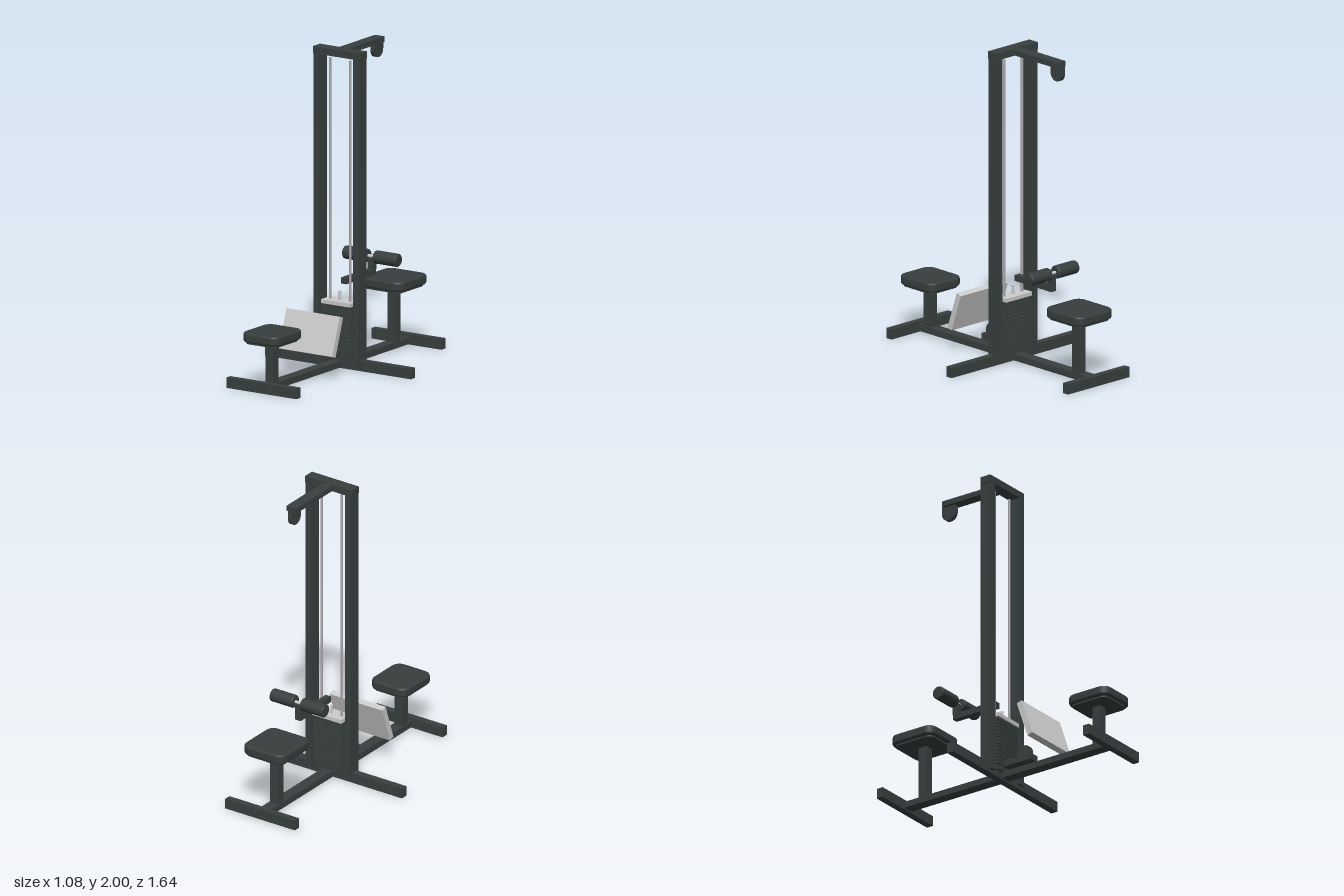
import * as THREE from 'three';

export function createModel() {
  const model = new THREE.Group();
  const frame = new THREE.MeshStandardMaterial({ name: 'darkFrame', color: 0x394040 });
  const pad = new THREE.MeshStandardMaterial({ name: 'darkPad', color: 0x383e3e });
  const light = new THREE.MeshStandardMaterial({ name: 'lightPanel', color: 0xcccccc });
  const steel = new THREE.MeshStandardMaterial({ name: 'steel', color: 0xaaa8ae });

  const add = (name, geo, mat, x = 0, y = 0, z = 0) => {
    const m = new THREE.Mesh(geo, mat);
    m.name = name;
    m.position.set(x, y, z);
    model.add(m);
    return m;
  };
  // box given by its extents on each axis
  const box = (name, mat, x0, x1, y0, y1, z0, z1) =>
    add(name, new THREE.BoxGeometry(x1 - x0, y1 - y0, z1 - z0), mat, (x0 + x1) / 2, (y0 + y1) / 2, (z0 + z1) / 2);

  // rounded slab lying flat, with softened rims
  const slab = (w, d, h, r, bevel) => {
    const a = w / 2 - bevel, b = d / 2 - bevel;
    const s = new THREE.Shape();
    s.moveTo(-a + r, -b);
    s.lineTo(a - r, -b);
    s.absarc(a - r, -b + r, r, -Math.PI / 2, 0);
    s.absarc(a - r, b - r, r, 0, Math.PI / 2);
    s.absarc(-a + r, b - r, r, Math.PI / 2, Math.PI);
    s.absarc(-a + r, -b + r, r, Math.PI, Math.PI * 1.5);
    const g = new THREE.ExtrudeGeometry(s, {
      depth: h - 2 * bevel, bevelEnabled: true, bevelSize: bevel, bevelThickness: bevel, bevelSegments: 4, curveSegments: 8,
    });
    return g.rotateX(-Math.PI / 2).translate(0, bevel, 0);
  };

  // floor frame
  box('baseSpine', frame, -0.036, 0.036, 0.015, 0.055, -0.8, 0.76);
  box('frontFoot', frame, -0.26, 0.26, 0.005, 0.07, 0.735, 0.78);
  box('rearFoot', frame, -0.26, 0.26, 0.005, 0.07, -0.82, -0.775);
  box('middleFoot', frame, -0.54, 0.54, 0.005, 0.07, -0.087, -0.04);

  // tower
  for (const s of [-1, 1]) {
    const c = s * 0.147;
    box('upright', frame, c - 0.021, c + 0.021, 0.03, 1.96, -0.105, -0.022);
    add('guideRod', new THREE.CylinderGeometry(0.008, 0.008, 1.86, 16), steel, s * 0.075, 1.005, -0.065);
  }
  box('topCrossbar', frame, -0.175, 0.175, 1.955, 2, -0.1, -0.026);
  box('topArm', frame, -0.036, 0.036, 1.963, 1.997, -0.49, -0.09);

  // pulleys: a plate pair round a wheel; dir points to the rounded end
  const pulley = (name, y, z, r, dir, stem) => {
    const s = new THREE.Shape();
    s.moveTo(-r, -stem);
    s.lineTo(r, -stem);
    s.lineTo(r, 0);
    s.absarc(0, 0, r, 0, Math.PI);
    for (const side of [-1, 1]) {
      const g = new THREE.ExtrudeGeometry(s, { depth: 0.005, bevelEnabled: false, curveSegments: 20 });
      g.translate(0, 0, -0.0025).rotateY(Math.PI / 2);
      const m = add(name + 'Bracket', g, frame, side * 0.0105, y, z);
      if (dir < 0) m.rotation.x = Math.PI;
    }
    add(name + 'Wheel', new THREE.CylinderGeometry(r * 0.95, r * 0.95, 0.016, 28).rotateZ(Math.PI / 2), frame, 0, y, z);
  };
  pulley('topPulley', 1.92, -0.458, 0.05, -1, 0.055);
  box('lowArm', frame, -0.036, 0.036, 0.085, 0.125, -0.03, 0.178);
  pulley('lowPulley', 0.15, 0.11, 0.05, 1, 0.03);

  // weight stack
  const pitch = 0.0225;
  for (let i = 0; i < 14; i++) {
    const y = 0.085 + i * pitch;
    box('weightPlate', frame, -0.105, 0.105, y, y + 0.018, -0.113, -0.017);
  }
  box('stackCore', frame, -0.095, 0.095, 0.05, 0.4, -0.105, -0.025);
  box('stackTopPlate', light, -0.108, 0.108, 0.4, 0.424, -0.118, -0.014);
  add('selectorStem', new THREE.CylinderGeometry(0.009, 0.009, 0.06, 16), light, 0, 0.45, -0.065);

  // seats
  const seat = (name, z, w, d, bottom, h, postZ) => {
    add(name + 'Cushion', slab(w, d, h, 0.045, 0.014), pad, 0, bottom, z);
    add(name + 'Board', slab(w - 0.04, d - 0.04, 0.014, 0.035, 0.002), frame, 0, bottom - 0.012, z);
    box(name + 'Post', frame, -0.029, 0.029, 0.05, bottom - 0.005, postZ - 0.029, postZ + 0.029);
  };
  seat('frontSeat', 0.664, 0.272, 0.305, 0.317, 0.06, 0.666);
  seat('rearSeat', -0.647, 0.306, 0.322, 0.402, 0.062, -0.643);

  // tilted foot plate
  const plate = add('footPlate', new THREE.BoxGeometry(0.395, 0.25, 0.038), light, 0, 0.279, 0.248);
  plate.rotation.x = -0.33;

  // thigh rollers
  box('rollerArm', frame, -0.02, 0.02, 0.517, 0.555, -0.422, -0.1);
  box('rollerPost', frame, -0.02, 0.02, 0.55, 0.622, -0.424, -0.387);
  add('rollerAxle', new THREE.CylinderGeometry(0.01, 0.01, 0.36, 16).rotateZ(Math.PI / 2), light, 0, 0.63, -0.406);
  const profile = [[0, -0.085], [0.034, -0.085], [0.039, -0.082], [0.041, -0.076],
    [0.041, 0.076], [0.039, 0.082], [0.034, 0.085], [0, 0.085]].map(p => new THREE.Vector2(...p));
  for (const s of [-1, 1]) {
    add('rollerPad', new THREE.LatheGeometry(profile, 28).rotateZ(Math.PI / 2), pad, s * 0.113, 0.63, -0.406);
  }
  return model;
}
